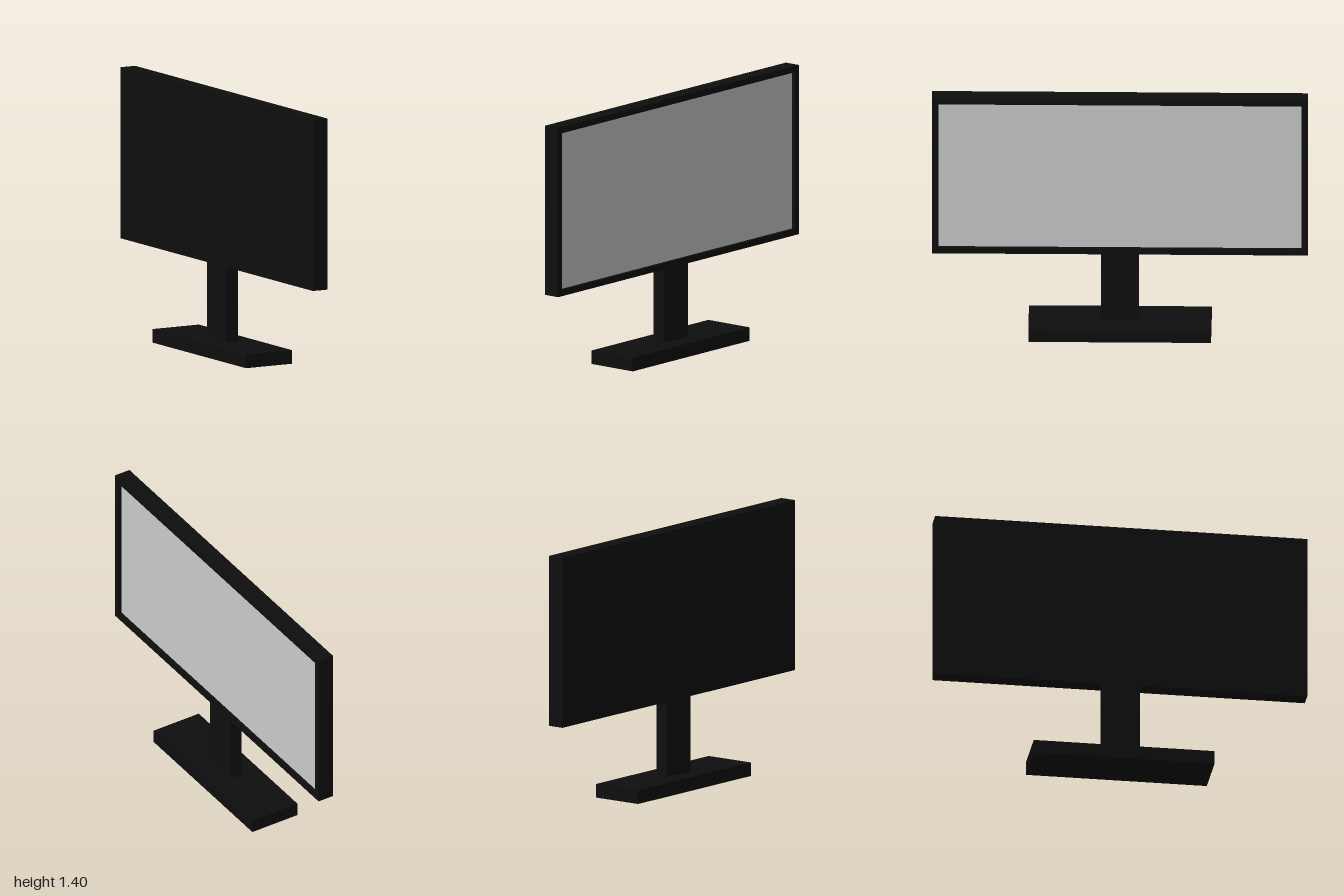
import * as THREE from 'three';

const black = new THREE.MeshStandardMaterial({ color: 0x0e0e0e });
const grey = new THREE.MeshStandardMaterial({ color: 0xcccccc });

// Box given by its min and max corners
function box(name, [x0, y0, z0], [x1, y1, z1], material = black) {
  const mesh = new THREE.Mesh(new THREE.BoxGeometry(x1 - x0, y1 - y0, z1 - z0), material);
  mesh.position.set((x0 + x1) / 2, (y0 + y1) / 2, (z0 + z1) / 2);
  mesh.name = name;
  return mesh;
}

// Rectangle outline in the panel's plane
function rectangle(Type, w, y0, y1) {
  return new Type([[-w, y0], [w, y0], [w, y1], [-w, y1]].map(p => new THREE.Vector2(...p)));
}

export function createModel() {
  const model = new THREE.Group();
  model.name = 'monitor';
  const bottom = 0.48, top = 1.402, border = 0.034, half = 0.035, lip = 0.02;

  // Stand
  model.add(box('base', [-0.143, 0, -0.486], [0.143, 0.073, 0.486]));
  model.add(box('neck', [-half, 0.073, -0.101], [half, bottom, 0.101]));

  // Panel body, screen facing +x
  model.add(box('housing', [-half, bottom, -1], [half, top, 1]));
  model.add(box('screen',
    [half - 0.002, bottom + border, -1 + border],
    [half + 0.001, top - border, 1 - border], grey));

  // Raised frame around the screen
  const outline = rectangle(THREE.Shape, 1, bottom, top);
  outline.holes.push(rectangle(THREE.Path, 1 - border, bottom + border, top - border));
  const bezel = new THREE.Mesh(
    new THREE.ExtrudeGeometry(outline, { depth: lip, bevelEnabled: false }), black);
  bezel.name = 'bezel';
  bezel.rotation.y = Math.PI / 2;
  bezel.position.x = half;
  model.add(bezel);

  return model;
}
